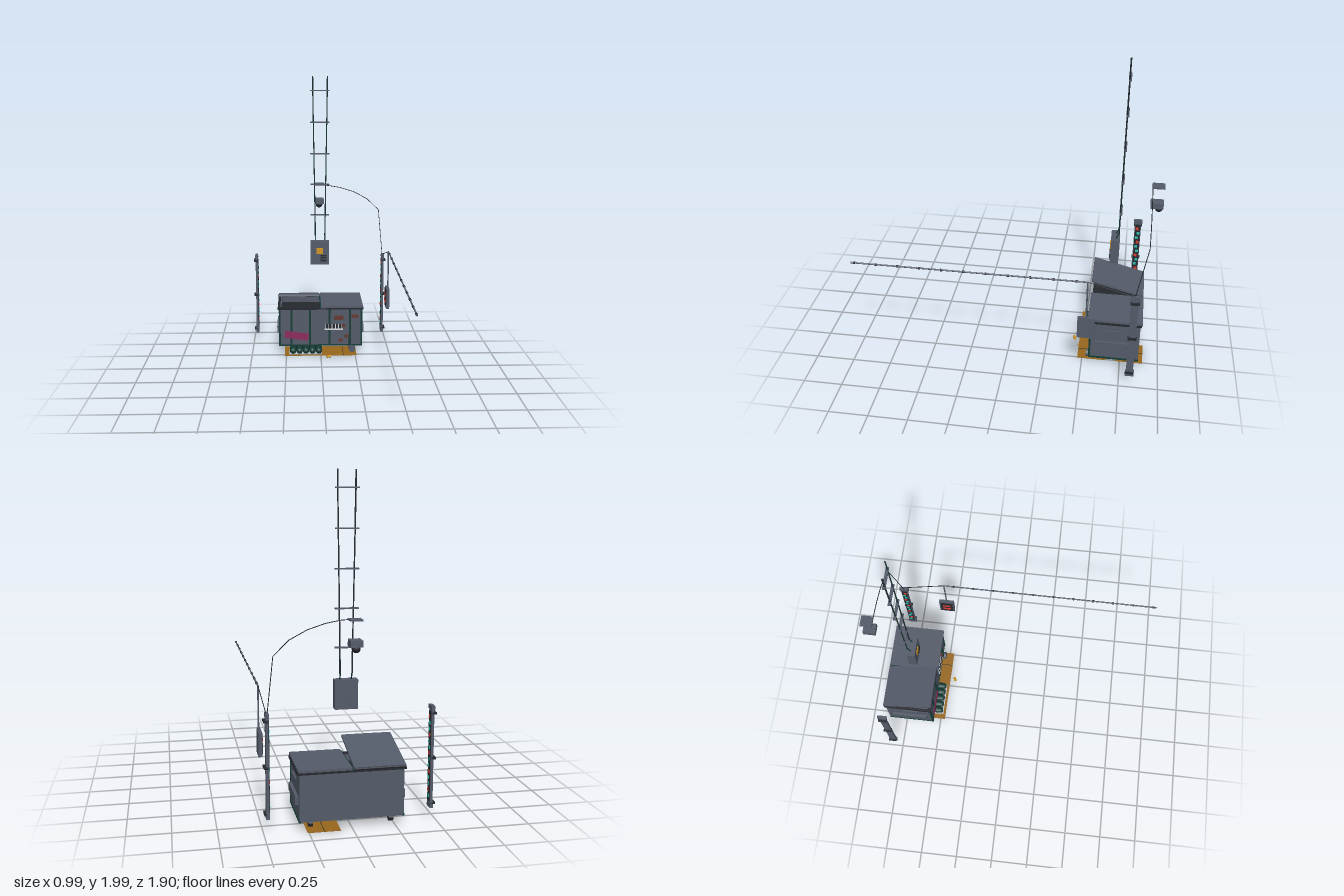
import * as THREE from 'three';

const mat = (name, color) => {
  const m = new THREE.MeshStandardMaterial({ color });
  m.name = name;
  return m;
};

export function createModel() {
  const root = new THREE.Group();
  const M = {
    steel: mat('slate steel', 0x535a68), dark: mat('charcoal', 0x24272d), green: mat('dark green', 0x143c36),
    magenta: mat('magenta', 0x8a2a5c), rust: mat('rust', 0x64382f), card: mat('cardboard', 0x96661c),
    amber: mat('amber', 0xd0941c), red: mat('red', 0xe03a34), teal: mat('teal', 0x2cc0b0), white: mat('off white', 0xd8dadc),
  };
  const group = (name, parent = root) => {
    const g = new THREE.Group();
    g.name = name;
    parent.add(g);
    return g;
  };
  const add = (parent, name, geo, m, x = 0, y = 0, z = 0) => {
    const mesh = new THREE.Mesh(geo, m);
    mesh.name = name;
    mesh.position.set(x, y, z);
    parent.add(mesh);
    return mesh;
  };
  // Box given by its limits on each axis
  const box = (parent, name, m, x0, x1, y0, y1, z0, z1) =>
    add(parent, name, new THREE.BoxGeometry(x1 - x0, y1 - y0, z1 - z0), m, (x0 + x1) / 2, (y0 + y1) / 2, (z0 + z1) / 2);
  // Straight rod between two points
  const rod = (parent, name, m, a, b, r, sides = 8) => {
    const p = new THREE.Vector3(...a), q = new THREE.Vector3(...b), d = q.clone().sub(p);
    const mesh = add(parent, name, new THREE.CylinderGeometry(r, r, d.length(), sides), m);
    mesh.position.copy(p.add(q).multiplyScalar(0.5));
    mesh.quaternion.setFromUnitVectors(new THREE.Vector3(0, 1, 0), d.normalize());
  };
  const cable = (parent, name, points, r) => {
    for (let i = 1; i < points.length; i++) rod(parent, name, M.dark, points[i - 1], points[i], r, 6);
  };

  // Dumpster shell: floor, walls, dark filling
  const bin = group('dumpster');
  box(bin, 'floor', M.steel, -0.3, 0.3, 0.06, 0.08, -0.865, -0.55);
  box(bin, 'frontWall', M.steel, -0.3, 0.3, 0.06, 0.345, -0.565, -0.55);
  box(bin, 'backWall', M.steel, -0.3, 0.3, 0.06, 0.345, -0.868, -0.853);
  box(bin, 'filling', M.dark, -0.285, 0.285, 0.08, 0.3, -0.853, -0.565);
  for (const s of [-1, 1]) {
    add(bin, 'sideWall', new THREE.BoxGeometry(0.015, 0.285, 0.288), M.steel, s * 0.2925, 0.2025, -0.709);
    // Fork pocket, slot and corner trims
    add(bin, 'forkPocket', new THREE.BoxGeometry(0.02, 0.05, 0.245), M.steel, s * 0.308, 0.175, -0.705);
    add(bin, 'sideRail', new THREE.BoxGeometry(0.012, 0.012, 0.11), M.steel, s * 0.304, 0.282, -0.7);
    add(bin, 'cornerTrim', new THREE.BoxGeometry(0.012, 0.27, 0.012), M.green, s * 0.298, 0.2, -0.548);
    add(bin, 'sideRim', new THREE.BoxGeometry(0.018, 0.014, 0.33), M.dark, s * 0.303, 0.343, -0.707);
    add(bin, 'sideSill', new THREE.BoxGeometry(0.01, 0.012, 0.325), M.green, s * 0.299, 0.064, -0.707);
  }
  box(bin, 'frontRim', M.dark, -0.31, 0.31, 0.336, 0.35, -0.565, -0.54);
  box(bin, 'backRim', M.dark, -0.31, 0.31, 0.336, 0.35, -0.876, -0.853);
  box(bin, 'frontSill', M.green, -0.3, 0.3, 0.058, 0.068, -0.552, -0.546);
  for (const x of [-0.213, -0.077, 0.066, 0.214])
    add(bin, 'frontRib', new THREE.BoxGeometry(0.015, 0.27, 0.01), M.green, x, 0.2, -0.546);

  // Closed lid and propped lid
  box(bin, 'closedLid', M.steel, 0.003, 0.308, 0.35, 0.365, -0.88, -0.53);
  box(bin, 'lidSeam', M.green, -0.005, 0.005, 0.345, 0.36, -0.878, -0.535);
  const lid = group('openLid', bin);
  lid.position.set(-0.157, 0.356, -0.878);
  lid.rotation.x = -0.25;
  box(lid, 'lidPanel', M.steel, -0.15, 0.15, -0.003, 0.01, 0, 0.358);
  rod(bin, 'hingeRod', M.dark, [-0.3, 0.353, -0.874], [0.3, 0.353, -0.874], 0.006);

  // Casters
  for (const x of [-0.237, 0.23]) {
    add(bin, 'casterFork', new THREE.BoxGeometry(0.034, 0.02, 0.025), M.dark, x, 0.054, -0.81);
    add(bin, 'casterWheel', new THREE.CylinderGeometry(0.02, 0.02, 0.026, 14), M.dark, x, 0.032, -0.81).rotation.z = Math.PI / 2;
  }
  // Loose steel drum under the front edge
  rod(bin, 'drum', M.steel, [0.23, 0.037, -0.66], [0.23, 0.037, -0.525], 0.024, 16);

  // Painted front details
  const sticker = add(bin, 'sticker', new THREE.BoxGeometry(0.175, 0.053, 0.004), M.magenta, -0.176, 0.14, -0.539);
  sticker.rotation.z = -0.14;
  for (const [x, y, w, h] of [[0.134, 0.27, 0.062, 0.032], [0.25, 0.283, 0.05, 0.025], [0.197, 0.131, 0.04, 0.024], [0.147, 0.1, 0.034, 0.018], [0.165, 0.212, 0.03, 0.022]])
    add(bin, 'rustPatch', new THREE.BoxGeometry(w, h, 0.008), M.rust, x, y, -0.547);
  add(bin, 'stripPlate', new THREE.BoxGeometry(0.122, 0.04, 0.006), M.white, 0.095, 0.206, -0.54);
  add(bin, 'stripBase', new THREE.BoxGeometry(0.134, 0.008, 0.008), M.white, 0.095, 0.187, -0.538);
  for (let i = 0; i < 5; i++)
    add(bin, 'stripBlock', new THREE.BoxGeometry(0.017, 0.034, 0.004), M.dark, 0.047 + i * 0.024, 0.21, -0.537);

  // Cardboard and litter on the ground
  const litter = group('litter');
  box(litter, 'frontCardboard', M.card, 0.008, 0.26, 0.01, 0.012, -0.66, -0.47);
  box(litter, 'cardboardFront', M.card, -0.263, 0.008, 0.01, 0.012, -0.487, -0.47);
  box(litter, 'cardboardSide', M.card, -0.263, -0.228, 0.01, 0.012, -0.66, -0.487);
  box(litter, 'backCardboard', M.card, 0.07, 0.26, 0.01, 0.012, -0.9, -0.72);
  box(litter, 'cardboardFold', M.dark, 0.162, 0.165, 0.011, 0.014, -0.66, -0.47);
  box(litter, 'backFold', M.dark, 0.162, 0.165, 0.011, 0.014, -0.9, -0.72);
  for (let i = 0; i < 5; i++) {
    const bottle = add(litter, 'bottle', new THREE.CapsuleGeometry(0.0235, 0.12, 4, 12), M.green, -0.202 + i * 0.047, 0.034, -0.573);
    bottle.rotation.x = Math.PI / 2;
  }
  box(litter, 'redCrate', M.red, -0.1, -0.03, 0.018, 0.058, -0.71, -0.662);
  const can = add(litter, 'can', new THREE.CylinderGeometry(0.009, 0.009, 0.03, 10), M.amber, 0.055, 0.016, -0.436);
  can.rotation.set(0, 0.4, Math.PI / 2);
  add(litter, 'scrap', new THREE.BoxGeometry(0.02, 0.012, 0.015), M.amber, 0.06, 0.02, -0.74);
  add(litter, 'stub', new THREE.BoxGeometry(0.004, 0.016, 0.004), M.amber, 0.132, 0.02, -0.465);

  // Light posts, with lamps on the inner faces
  for (const s of [-1, 1]) {
    const post = group(s < 0 ? 'rightPost' : 'leftPost');
    post.position.set(s * 0.472, 0, -0.815);
    box(post, 'postBody', M.steel, -0.008, 0.008, 0.08, 0.67, -0.022, 0.022);
    box(post, 'postCap', M.steel, -0.01, 0.01, 0.66, 0.685, -0.03, 0.03);
    box(post, 'postFoot', M.steel, -0.01, 0.01, 0.08, 0.12, -0.028, 0.028);
    for (const y of [0.11, 0.377, 0.64])
      add(post, 'bracket', new THREE.BoxGeometry(0.026, 0.012, 0.056), M.dark, s * 0.008, y, 0);
    add(post, 'lampStrip', new THREE.BoxGeometry(0.005, 0.53, 0.036), M.dark, -s * 0.009, 0.385, 0);
    for (let i = 0; i < 14; i++)
      add(post, 'lamp', new THREE.BoxGeometry(0.003, 0.021, 0.02), i % 3 === 1 ? M.red : M.teal, -s * 0.012, 0.15 + i * 0.036, i % 2 ? 0.004 : -0.004);
  }

  // Long beaded boom with a hanging screen box
  const boom = group('boom');
  rod(boom, 'boomRod', M.steel, [0.485, 0.77, -0.525], [0.485, 0.77, 0.953], 0.005);
  for (let i = 0; i < 11; i++)
    rod(boom, 'boomBead', M.dark, [0.485, 0.77, 0.925 - i * 0.1386], [0.485, 0.77, 0.937 - i * 0.1386], 0.008);
  rod(boom, 'hanger', M.steel, [0.485, 0.5, -0.525], [0.485, 0.772, -0.525], 0.005);
  box(boom, 'screenBox', M.steel, 0.47, 0.492, 0.358, 0.506, -0.578, -0.472);
  box(boom, 'screen', M.dark, 0.466, 0.471, 0.37, 0.494, -0.568, -0.482);
  for (const y of [0.41, 0.455]) box(boom, 'screenRow', M.red, 0.463, 0.467, y - 0.01, y + 0.01, -0.553, -0.497);

  // Sagging cables
  const lines = group('cables');
  cable(lines, 'boomCable', [[0.476, 0.685, -0.815], [0.485, 0.77, -0.525]], 0.0025);
  cable(lines, 'cameraCable', [[0.468, 0.685, -0.815], [0.442, 1.01, -0.876], [0.355, 1.095, -0.876], [0.255, 1.148, -0.876],
    [0.155, 1.18, -0.876], [0.07, 1.195, -0.876], [-0.03, 1.2, -0.876]], 0.0025);

  // Dome camera and its mounting plate
  const cam = group('camera');
  box(cam, 'mountPlate', M.steel, -0.036, 0.036, 1.197, 1.205, -0.952, -0.876);
  box(cam, 'cameraHousing', M.steel, -0.035, 0.032, 1.055, 1.092, -0.952, -0.871);
  add(cam, 'dome', new THREE.SphereGeometry(0.025, 16, 12), M.dark, -0.002, 1.046, -0.925);

  // Control box
  const control = group('controlBox');
  box(control, 'cabinet', M.steel, -0.07, 0.065, 0.65, 0.822, -0.694, -0.64);
  box(control, 'backPlate', M.steel, -0.05, 0.045, 0.67, 0.8, -0.697, -0.692);
  box(control, 'warningPlate', M.amber, -0.026, 0.021, 0.73, 0.772, -0.642, -0.635);
  for (let i = 0; i < 4; i++) box(control, 'vent', M.dark, 0.003, 0.046, 0.674 + i * 0.0125, 0.682 + i * 0.0125, -0.642, -0.635);

  // Twin feed lines with cross rungs
  const feed = group('feedLines');
  for (const s of [-1, 1]) {
    rod(feed, 'lowerFeed', M.green, [s * 0.033, 0.815, -0.67], [s * 0.034, 0.86, -0.689], 0.004);
    rod(feed, 'upperFeed', M.dark, [s * 0.034, 0.858, -0.689], [s * 0.053, 2, -0.689], 0.004);
    rod(feed, 'feedCore', M.green, [s * 0.037, 0.858, -0.686], [s * 0.05, 2, -0.686], 0.0025);
  }
  for (let i = 0; i < 5; i++)
    add(feed, 'rung', new THREE.BoxGeometry(0.136, 0.008, 0.018), M.steel, -0.002, 1.01 + i * 0.2225, -0.691);
  return root;
}
